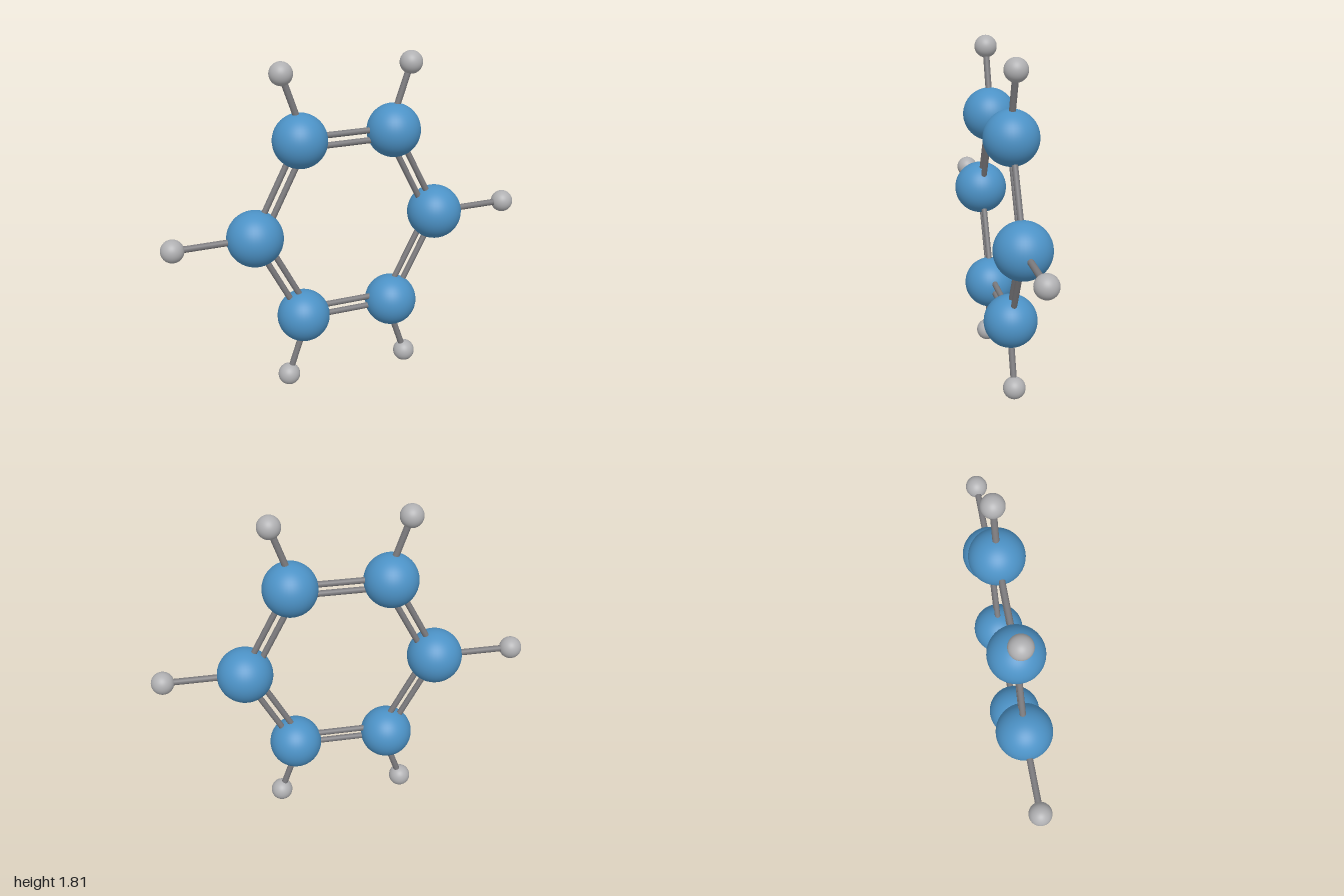
import * as THREE from 'three';

const CY = 0.912; // height of the ring centre

export function createModel() {
  const model = new THREE.Group();
  model.name = 'ringMolecule';

  const blue = new THREE.MeshStandardMaterial({ color: 0x4c92c6 });
  blue.name = 'atom blue';
  const pale = new THREE.MeshStandardMaterial({ color: 0xb0b0b2 });
  pale.name = 'pale grey';
  const grey = new THREE.MeshStandardMaterial({ color: 0x7c7b7e });
  grey.name = 'rod grey';

  const ball = (name, p, r, material) => {
    const mesh = new THREE.Mesh(new THREE.SphereGeometry(r, 40, 28), material);
    mesh.name = name;
    mesh.position.copy(p);
    model.add(mesh);
  };

  const rod = (name, a, b, r) => {
    const dir = b.clone().sub(a);
    const mesh = new THREE.Mesh(new THREE.CylinderGeometry(r, r, dir.length(), 20), grey);
    mesh.name = name;
    mesh.position.copy(a).add(b).multiplyScalar(0.5);
    mesh.quaternion.setFromUnitVectors(new THREE.Vector3(0, 1, 0), dir.normalize());
    model.add(mesh);
  };

  const at = (x, y) => new THREE.Vector3(x, CY + y, 0);

  // Ring atoms, counter-clockwise from the model's left
  const ring = [at(0.512, 0), at(0.258, 0.495), at(-0.258, 0.495),
    at(-0.512, 0), at(-0.258, -0.495), at(0.258, -0.495)];
  // Outer atoms and the inner ends of their rods
  const outer = [at(0.94, 0), at(0.349, 0.845), at(-0.349, 0.845),
    at(-0.94, 0), at(-0.349, -0.845), at(0.349, -0.845)];
  const roots = [at(0.5, 0), at(0.23, 0.495), at(-0.23, 0.495),
    at(-0.5, 0), at(-0.23, -0.495), at(0.23, -0.495)];

  ring.forEach((p, i) => {
    ball('ringAtom', p, i % 3 === 0 ? 0.148 : 0.142, blue);
    ball('outerAtom', outer[i], 0.06, pale);
    rod('outerBond', roots[i], outer[i], 0.017);

    // Pair of parallel rods to the next atom, set slightly inward
    const q = ring[(i + 1) % 6];
    const d = q.clone().sub(p).normalize();
    const inward = new THREE.Vector3(-d.y, d.x, 0);
    for (const offset of [-0.013, 0.041]) {
      const shift = inward.clone().multiplyScalar(offset);
      rod('ringBond', p.clone().add(shift), q.clone().add(shift), 0.016);
    }
  });

  return model;
}
